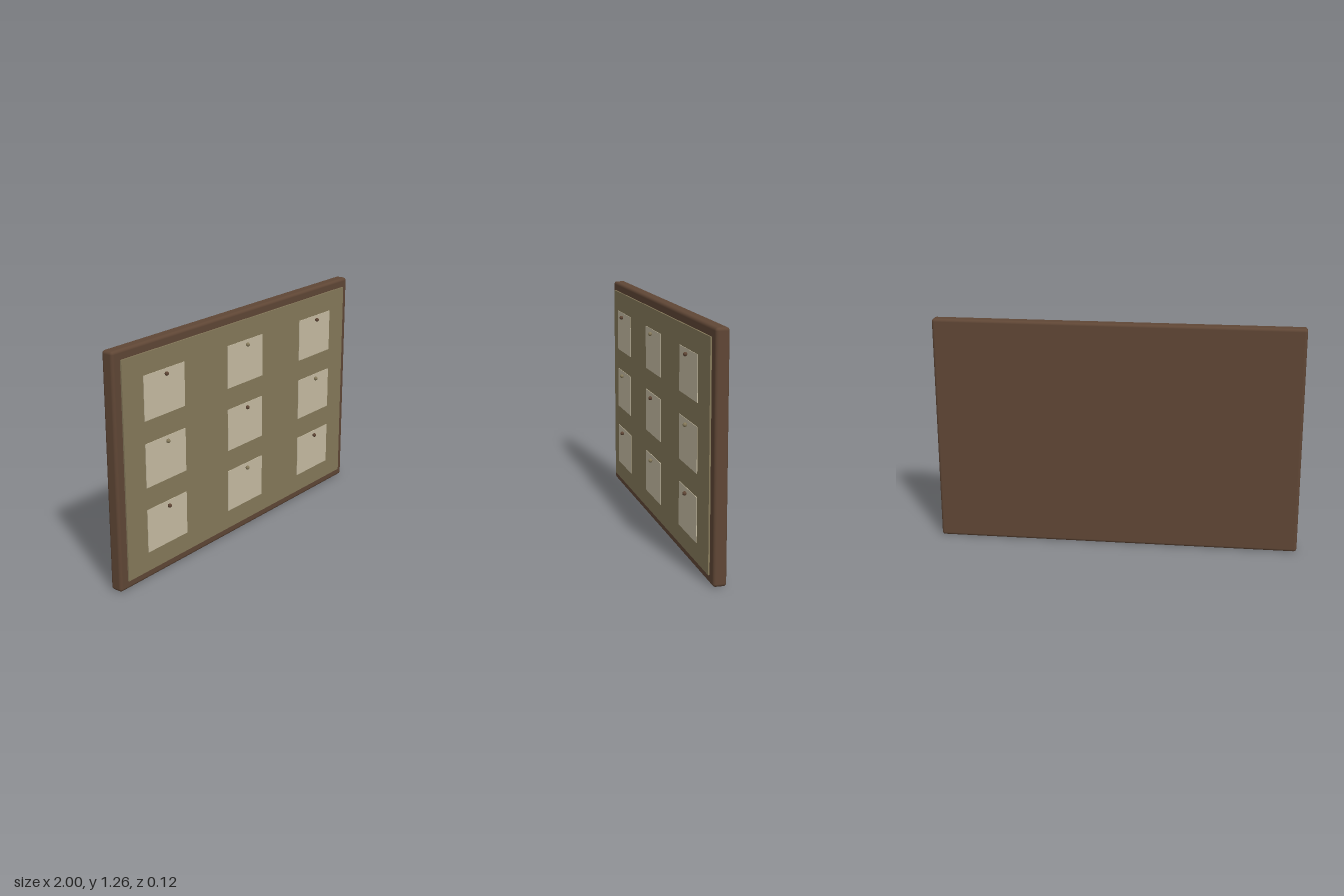
import * as THREE from 'three';
import { RoundedBoxGeometry } from 'three/addons/geometries/RoundedBoxGeometry.js';

const mat = (name, color) => {
  const m = new THREE.MeshStandardMaterial({ color });
  m.name = name;
  return m;
};

export function createModel() {
  const wood = mat('brown wood', 0x5f4635);
  const cork = mat('olive cork', 0x85795a);
  const paper = mat('cream paper', 0xc6bca2);
  const darkPin = mat('dark pin', 0x5f4635);
  const palePin = mat('pale pin', 0x85795a);

  const board = new THREE.Group();
  board.name = 'noticeBoard';
  const add = (name, geometry, material, x, y, z) => {
    const mesh = new THREE.Mesh(geometry, material);
    mesh.name = name;
    mesh.position.set(x, y, z);
    board.add(mesh);
  };

  // Solid wooden backing with softened edges, and the cork sheet on its front
  add('frame', new RoundedBoxGeometry(2, 1.256, 0.07, 3, 0.016), wood, 0, 0.628, -0.023);
  add('corkPanel', new THREE.BoxGeometry(1.9, 1.16, 0.008), cork, 0, 0.628, 0.018);

  // Three by three notes, each held by a pin of alternating colour
  const noteGeometry = new THREE.BoxGeometry(0.302, 0.234, 0.003);
  const pinGeometry = new THREE.SphereGeometry(0.011, 12, 8);
  for (let row = 0; row < 3; row++) {
    for (let col = 0; col < 3; col++) {
      const x = -0.01 + (col - 1) * 0.651;
      const y = 0.629 + (1 - row) * 0.353;
      add('note', noteGeometry, paper, x, y, 0.032);
      add('pin', pinGeometry, (row + col) % 2 ? palePin : darkPin, x, y + 0.095, 0.049);
    }
  }
  return board;
}
